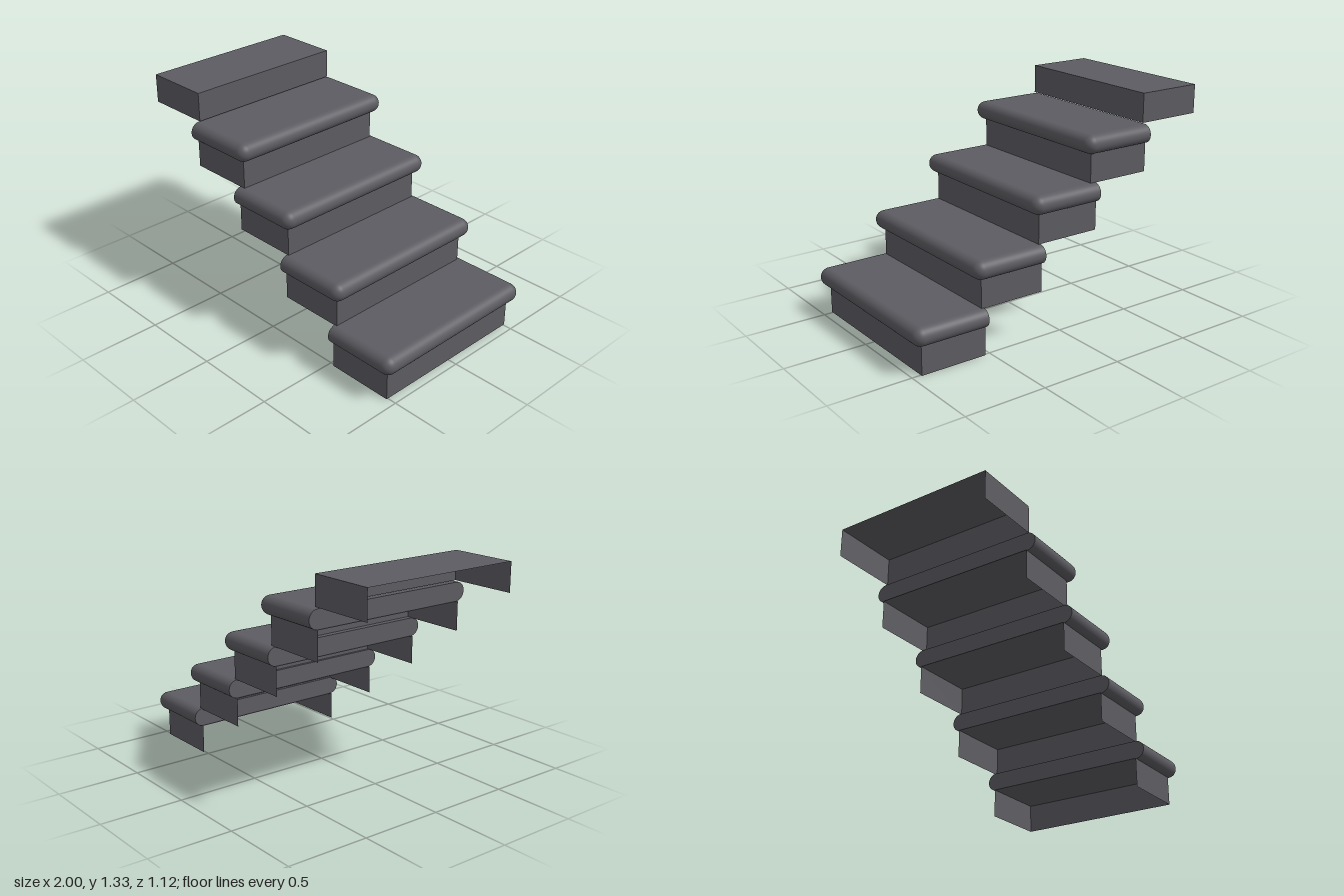
import * as THREE from 'three';
import { RoundedBoxGeometry } from 'three/addons/geometries/RoundedBoxGeometry.js';

const stone = new THREE.MeshStandardMaterial({ color: 0x5d5c62, side: THREE.DoubleSide });
stone.name = 'dark grey stone';

const BLOCK = { width: 0.412, height: 0.175, depth: 1.02 };
const TREAD = { width: 0.46, height: 0.112, depth: 1.124 };

// Step block: a shell with riser, top and two ends, open at the back and bottom
function blockGeometry() {
  const geo = new THREE.BoxGeometry(BLOCK.width, BLOCK.height, BLOCK.depth);
  const index = Array.from(geo.index.array);
  geo.setIndex([0, 2, 4, 5].flatMap((side) => index.slice(side * 6, side * 6 + 6)));
  geo.clearGroups();
  geo.translate(BLOCK.width / 2, BLOCK.height / 2, 0);
  return geo;
}

// Tread: bullnosed on the front and both ends, cut flat at the back (x = 0)
function treadGeometry() {
  const { width, height, depth } = TREAD;
  const r = height / 2;
  const geo = new RoundedBoxGeometry(width + r, height, depth, 6, r);
  geo.translate((width - r) / 2, r, 0);
  const pos = geo.attributes.position;
  const normal = geo.attributes.normal;
  for (let i = 0; i < pos.count; i += 3) {
    const corners = [i, i + 1, i + 2];
    const isBack = corners.every((k) => pos.getX(k) < 1e-4);
    for (const k of corners) {
      pos.setX(k, Math.max(pos.getX(k), 0));
      if (isBack) normal.setXYZ(k, -1, 0, 0);
    }
  }
  geo.clearGroups();
  return geo;
}

export function createModel() {
  const stairs = new THREE.Group();
  stairs.name = 'stairs';
  const block = blockGeometry();
  const tread = treadGeometry();

  // Back edge and base height of each step, lowest first
  const steps = [[0.532, 0], [0.145, 0.282], [-0.245, 0.57], [-0.613, 0.855], [-1, 1.15]];
  steps.forEach(([x, y], i) => {
    const step = new THREE.Group();
    step.name = `step${i + 1}`;
    step.position.set(x, y, 0);

    const body = new THREE.Mesh(block, stone);
    body.name = 'stepBlock';
    step.add(body);

    // The top landing has no tread
    if (i < steps.length - 1) {
      const slab = new THREE.Mesh(tread, stone);
      slab.name = 'tread';
      slab.position.set(0.008, BLOCK.height, 0);
      step.add(slab);
    }
    stairs.add(step);
  });
  return stairs;
}
